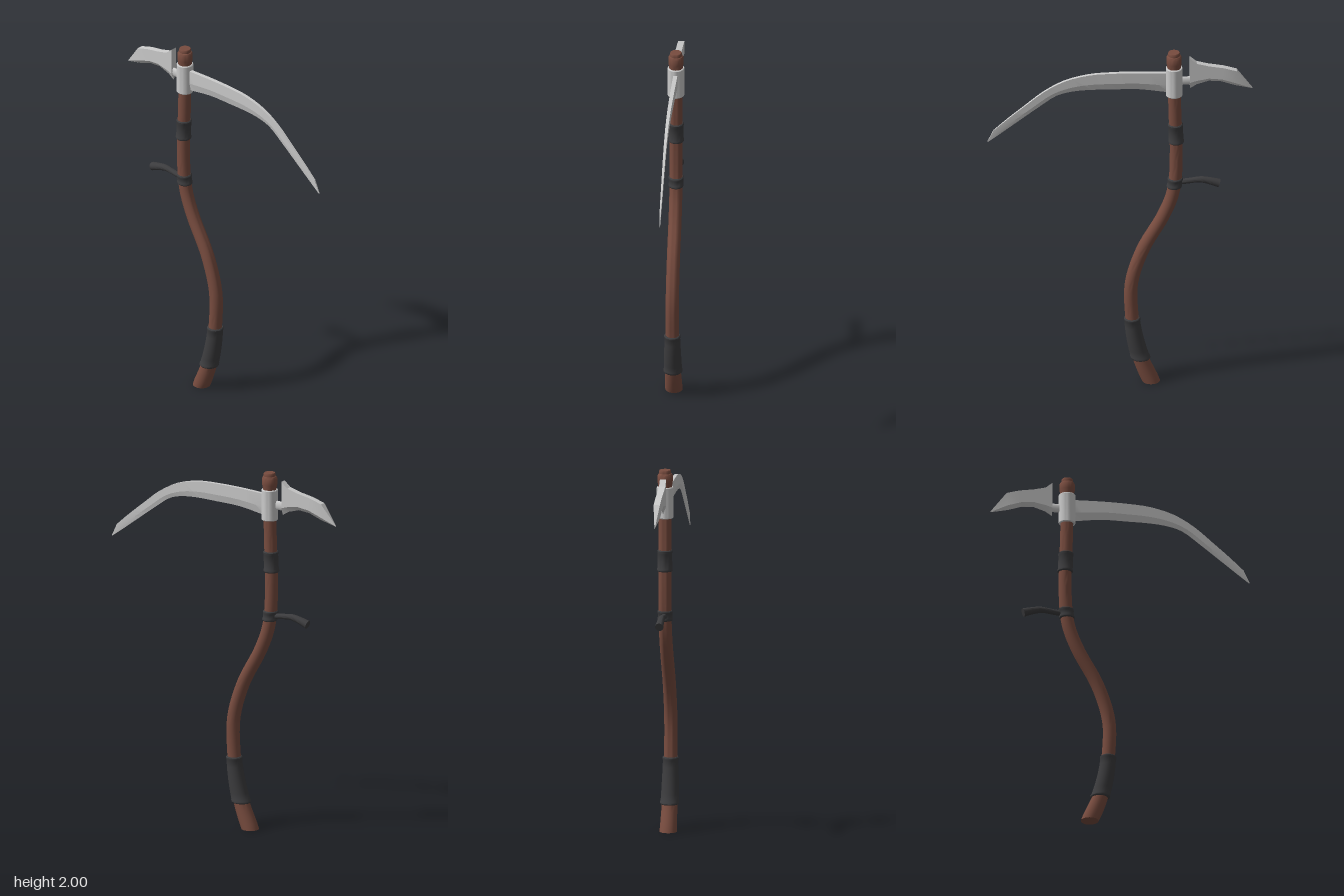
import * as THREE from 'three';
import { toCreasedNormals } from 'three/addons/utils/BufferGeometryUtils.js';

const material = (color) => new THREE.MeshStandardMaterial({ color });

// Skin a list of rings (each counter-clockwise about the direction of travel) and cap both ends.
function loft(rings, crease = 0.6) {
  const n = rings[0].length, pos = [], idx = [];
  rings.forEach((r) => r.forEach((p) => pos.push(...p)));
  for (let k = 0; k < rings.length - 1; k++) {
    for (let i = 0; i < n; i++) {
      const a = k * n + i, b = k * n + ((i + 1) % n);
      idx.push(a, b, b + n, a, b + n, a + n);
    }
  }
  const e = (rings.length - 1) * n;
  for (let i = 1; i < n - 1; i++) idx.push(0, i + 1, i, e, e + i, e + i + 1);
  const g = new THREE.BufferGeometry();
  g.setAttribute('position', new THREE.Float32BufferAttribute(pos, 3));
  g.setIndex(idx);
  return toCreasedNormals(g, crease);
}

// Round ring facing (dx, dy), optionally stretched in the xy plane.
function ring(x, y, dx, dy, r, stretch = 1, n = 24) {
  return Array.from({ length: n }, (_, i) => {
    const a = (i / n) * Math.PI * 2, c = r * stretch * Math.cos(a);
    return [x - c * dy, y + c * dx, r * Math.sin(a)];
  });
}

// Centre line of the curved shaft, looked up by height.
const spine = new THREE.CatmullRomCurve3([
  [-0.165, 0], [-0.11, 0.14], [-0.076, 0.28], [-0.062, 0.4], [-0.06, 0.6], [-0.12, 0.8],
  [-0.228, 1.0], [-0.276, 1.12], [-0.294, 1.22], [-0.3, 1.42], [-0.294, 1.6], [-0.29, 1.76], [-0.288, 2],
].map(([x, y]) => new THREE.Vector3(x, y, 0)));
function spineX(y) {
  let lo = 0, hi = 1;
  for (let i = 0; i < 24; i++) {
    const m = (lo + hi) / 2;
    if (spine.getPoint(m).y < y) lo = m; else hi = m;
  }
  return spine.getPoint(lo).x;
}

// Piece of the shaft following the spine; profile is a list of [height, radius].
function along(profile, step = 0.04) {
  const rings = [];
  const add = (y, r) => {
    const slope = (spineX(Math.min(y + 0.02, 2)) - spineX(Math.max(y - 0.02, 0))) / 0.04;
    rings.push(ring(spineX(y), y, 0, 1, r, Math.hypot(1, slope)));
  };
  profile.forEach(([y, r], k) => {
    add(y, r);
    if (k === profile.length - 1) return;
    const [y2, r2] = profile[k + 1], n = Math.ceil((y2 - y) / step);
    for (let i = 1; i < n; i++) add(y + ((y2 - y) * i) / n, r + ((r2 - r) * i) / n);
  });
  return loft(rings);
}

// Wrapped sleeve with a rolled lip at each end.
const sleeve = (y0, y1, r0, r1) => along([
  [y0, r0 - 0.004], [y0 + 0.005, r0], [y0 + 0.014, r0], [y0 + 0.018, r0 - 0.002],
  [y1 - 0.018, r1 - 0.002], [y1 - 0.014, r1], [y1 - 0.005, r1], [y1, r1 - 0.004],
]);

// Flat spine above, ground bevel below; stations are [xTop, yTop, xEdge, yEdge, halfThickness].
function bladeGeometry(stations, bevel) {
  return loft(stations.map(([xt, yt, xb, yb, t]) => {
    const xm = xb + (xt - xb) * bevel, ym = yb + (yt - yb) * bevel;
    return [[xt, yt, -t], [xt, yt, t], [xm, ym, t], [xb, yb, 0.001], [xb, yb, -0.001], [xm, ym, -t]];
  }), 0.22);
}

export function createModel() {
  const group = new THREE.Group();
  const wood = material(0x784c3f), wrap = material(0x3c3c3e), metal = material(0xcccccc);
  const add = (name, geometry, mat) => {
    const mesh = new THREE.Mesh(geometry, mat);
    mesh.name = name;
    group.add(mesh);
    return mesh;
  };

  // Shaft and its turned top
  add('shaft', along([[0, 0.047], [0.14, 0.042], [0.4, 0.036], [1.2, 0.035], [1.9, 0.034]]), wood);
  add('shaftTop', along([
    [1.89, 0.037], [1.915, 0.037], [1.935, 0.041], [1.97, 0.041], [1.979, 0.036], [1.981, 0.032], [1.995, 0.032], [2, 0.029],
  ]), wood);

  // Dark wraps
  add('lowerGrip', sleeve(0.14, 0.39, 0.051, 0.044), wrap);
  add('upperGrip', sleeve(1.45, 1.565, 0.042, 0.041), wrap);
  add('handleCollar', sleeve(1.178, 1.235, 0.041, 0.041), wrap);

  // Side handle
  const peg = new THREE.CatmullRomCurve3([
    [-0.53, 1.19], [-0.485, 1.205], [-0.43, 1.217], [-0.37, 1.212], [-0.3, 1.205],
  ].map(([x, y]) => new THREE.Vector3(x, y, 0)));
  add('sideHandle', loft(Array.from({ length: 17 }, (_, i) => {
    const u = i / 16, p = peg.getPoint(u), d = peg.getTangent(u);
    return ring(p.x, p.y, d.x, d.y, 0.023 - 0.008 * Math.min(1, u * 1.6), 1, 14);
  })), wrap);

  // Metal socket around the shaft
  const socket = add('socket', new THREE.LatheGeometry([
    [0.034, -0.085], [0.042, -0.085], [0.045, -0.081], [0.045, 0.081], [0.042, 0.085], [0.034, 0.085],
  ].map(([x, y]) => new THREE.Vector2(x, y)), 28), metal);
  socket.geometry = toCreasedNormals(socket.geometry, 0.6);
  socket.position.set(-0.289, 1.823, 0);

  // Long curved blade, smoothed from a few stations
  const blade = [
    [-0.26, 1.878, -0.26, 1.757, 0.011], [-0.1, 1.886, -0.1, 1.783, 0.011], [0.05, 1.888, 0.05, 1.788, 0.01],
    [0.17, 1.882, 0.15, 1.79, 0.009], [0.3, 1.85, 0.25, 1.785, 0.008], [0.41, 1.79, 0.34, 1.763, 0.007],
    [0.51, 1.71, 0.44, 1.695, 0.006], [0.6, 1.636, 0.55, 1.613, 0.005], [0.68, 1.565, 0.645, 1.542, 0.004],
  ];
  const tops = new THREE.CatmullRomCurve3(blade.map((s) => new THREE.Vector3(s[0], s[1], s[4])));
  const edges = new THREE.CatmullRomCurve3(blade.map((s) => new THREE.Vector3(s[2], s[3], 0)));
  const stations = Array.from({ length: 25 }, (_, i) => {
    const t = tops.getPoint(i / 24), b = edges.getPoint(i / 24);
    return [t.x, t.y, b.x, b.y, t.z];
  });
  stations.push([0.713, 1.498, 0.712, 1.493, 0.002]);
  add('blade', bladeGeometry(stations, 0.38), metal);

  // Short rear head
  add('rearHead', bladeGeometry([
    [-0.71, 1.767, -0.71, 1.763, 0.001], [-0.625, 1.878, -0.615, 1.786, 0.017], [-0.555, 1.9, -0.54, 1.813, 0.017],
    [-0.475, 1.915, -0.475, 1.819, 0.017], [-0.41, 1.933, -0.41, 1.8, 0.017], [-0.373, 1.965, -0.373, 1.777, 0.017],
  ], 0.22), metal);

  // Neck joining the rear head to the socket
  const neck = add('neck', new THREE.CylinderGeometry(0.025, 0.025, 0.1, 16), metal);
  neck.rotation.z = Math.PI / 2;
  neck.scale.z = 0.45;
  neck.position.set(-0.335, 1.825, 0);

  return group;
}
